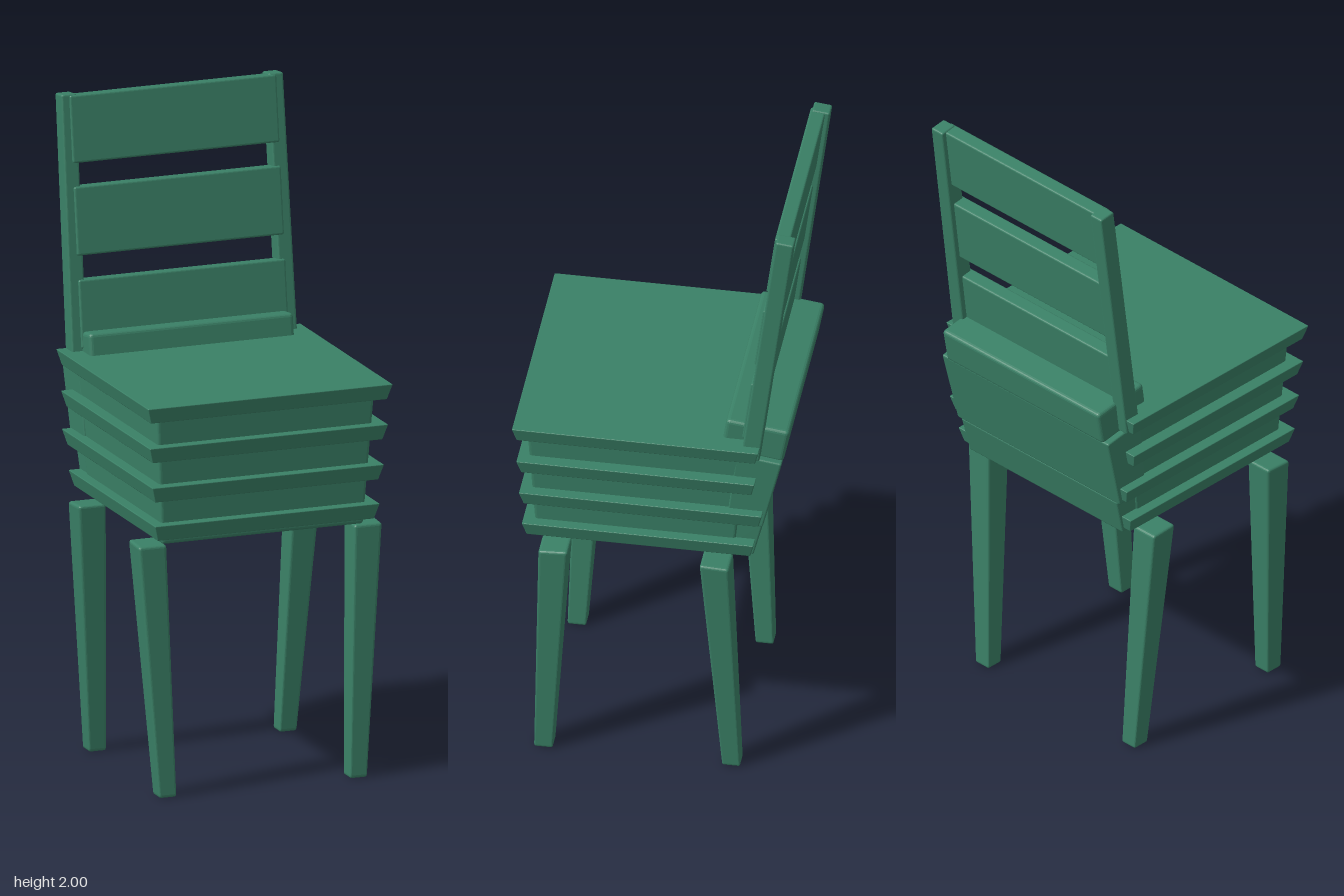
import * as THREE from 'three';
import { RoundedBoxGeometry } from 'three/addons/geometries/RoundedBoxGeometry.js';

const paint = new THREE.MeshStandardMaterial({ color: 0x3a8066 });
const lerp = THREE.MathUtils.lerp;

// Softly bevelled block lofted between two rectangles [x0, x1, z0, z1];
// tilt0 and tilt1 slope the bottom and top along z.
function block(name, y0, a, y1, b, { bevel = 0.006, tilt0 = 0, tilt1 = 0 } = {}) {
  const w = b[1] - b[0], h = y1 - y0, d = b[3] - b[2];
  const geo = new RoundedBoxGeometry(w, h, d, 2, bevel);
  const p = geo.attributes.position;
  for (let i = 0; i < p.count; i++) {
    const u = p.getX(i) / w + 0.5, t = p.getY(i) / h + 0.5, v = p.getZ(i) / d + 0.5;
    const r = a.map((s, k) => lerp(s, b[k], t));
    p.setXYZ(i,
      lerp(r[0], r[1], u),
      lerp(y0, y1, t) + lerp(tilt0, tilt1, t) * (v - 0.5) * (r[3] - r[2]),
      lerp(r[2], r[3], v));
  }
  geo.computeVertexNormals();
  const mesh = new THREE.Mesh(geo, paint);
  mesh.name = name;
  return mesh;
}

export function createModel() {
  const chair = new THREE.Group();
  chair.name = 'chair';

  // Tapered, splayed legs
  for (const s of [1, -1]) {
    const side = s > 0 ? 'Left' : 'Right';
    const xs = (m, n) => (s > 0 ? [m, n] : [-n, -m]);
    chair.add(
      block('frontLeg' + side, 0, [...xs(0.28, 0.335), 0.31, 0.367], 0.782, [...xs(0.303, 0.393), 0.255, 0.345], { bevel: 0.009, tilt1: -0.05 }),
      block('backLeg' + side, 0, [...xs(0.28, 0.335), -0.26, -0.205], 0.782, [...xs(0.303, 0.393), -0.235, -0.145], { bevel: 0.009, tilt1: 0.05 }),
      // Leaning back posts
      block('backPost' + side, 1.18, [...xs(0.315, 0.364), -0.322, -0.266], 2.0, [...xs(0.31, 0.358), -0.427, -0.372], { tilt0: 0.12, tilt1: 0.12 }),
    );
  }

  // Seat body with four flared slabs, the top one being the seat
  chair.add(block('seatBody', 0.787, [-0.325, 0.325, -0.24, 0.362], 1.2, [-0.352, 0.352, -0.28, 0.386], { bevel: 0.01 }));
  const slabs = [
    [1.23, 0.395, -0.325, 0.425],
    [1.103, 0.385, -0.312, 0.413],
    [0.978, 0.374, -0.332, 0.407],
    [0.856, 0.363, -0.305, 0.4],
  ];
  slabs.forEach(([top, x, z0, z1], i) => {
    chair.add(block(i ? 'lowerSlab' + i : 'seat', top - 0.049, [-x + 0.014, x - 0.014, z0 + 0.012, z1 - 0.013], top, [-x, x, z0, z1], { bevel: 0.003 }));
  });

  // Slanting rear panel in three courses
  chair.add(
    block('rearPanelLow', 0.793, [-0.322, 0.322, -0.298, -0.2], 0.927, [-0.328, 0.328, -0.329, -0.2], { tilt1: 0.15 }),
    block('rearPanelMiddle', 0.923, [-0.342, 0.342, -0.329, -0.22], 1.175, [-0.35, 0.35, -0.389, -0.25], { tilt0: 0.15, tilt1: 0.15 }),
    block('rearPanelCap', 1.17, [-0.33, 0.33, -0.389, -0.2], 1.284, [-0.33, 0.33, -0.41, -0.217], { bevel: 0.012, tilt0: 0.15, tilt1: 0.13 }),
  );

  // Backrest slats, following the lean of the posts
  const front = (y) => -0.258 - (y - 1.18) * 0.132;
  [[1.235, 1.442], [1.515, 1.722], [1.793, 1.997]].forEach(([y0, y1], i) => {
    const x = 0.334, f0 = front(y0), f1 = front(y1);
    chair.add(block('slat' + (i + 1), y0, [-x, x, f0 - 0.046, f0], y1, [-x, x, f1 - 0.046, f1], { tilt0: 0.12, tilt1: 0.12 }));
  });

  return chair;
}
